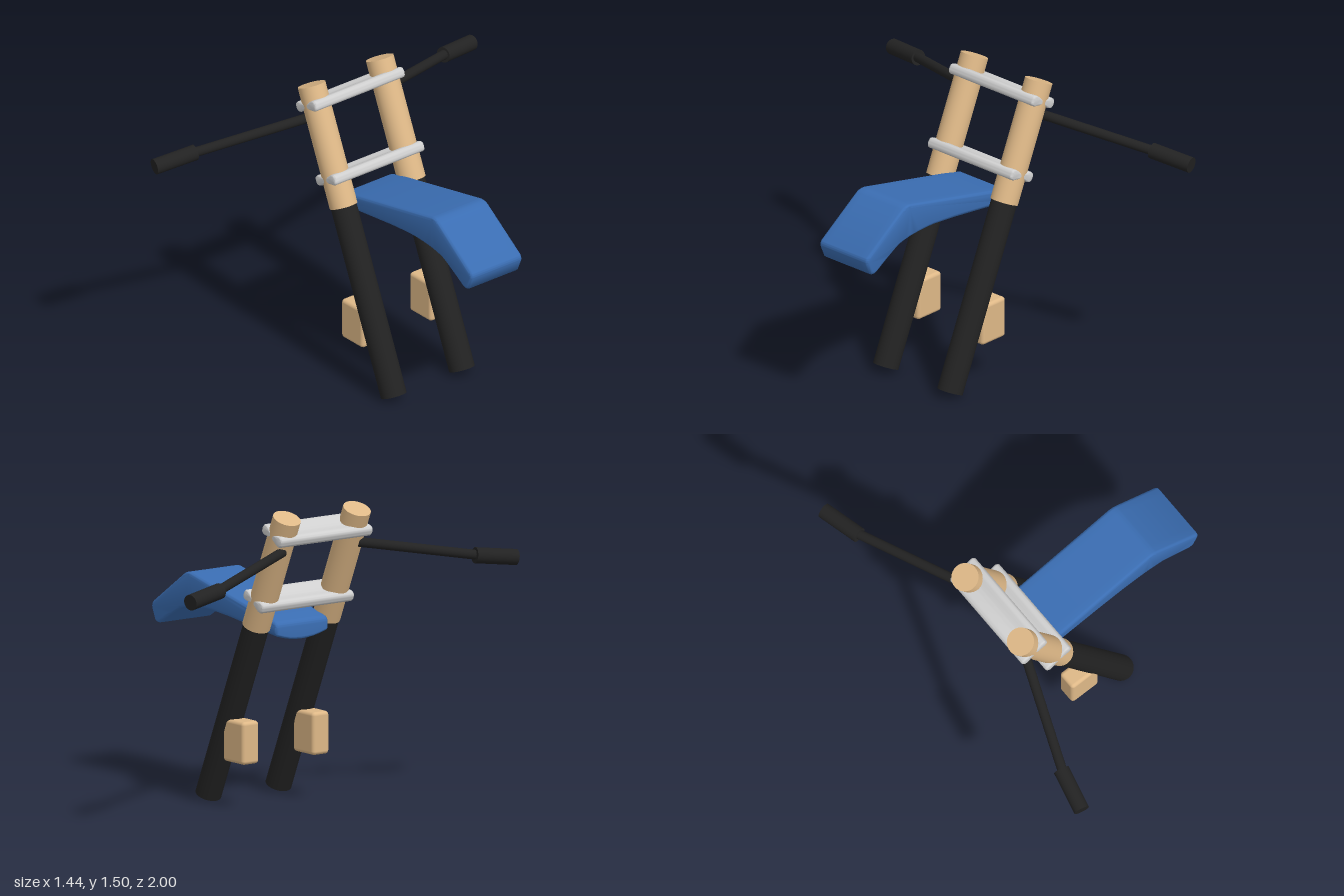
import * as THREE from 'three';
import { toCreasedNormals } from 'three/addons/utils/BufferGeometryUtils.js';
import { RoundedBoxGeometry } from 'three/addons/geometries/RoundedBoxGeometry.js';

const material = (name, color) => {
  const m = new THREE.MeshStandardMaterial({ color });
  m.name = name;
  return m;
};

function add(parent, name, geometry, mat) {
  const mesh = new THREE.Mesh(geometry, mat);
  mesh.name = name;
  parent.add(mesh);
  return mesh;
}

// Cylinder running between two points
function rod(parent, name, a, b, radius, mat) {
  const from = new THREE.Vector3(...a), to = new THREE.Vector3(...b);
  const dir = to.clone().sub(from);
  const mesh = add(parent, name, new THREE.CylinderGeometry(radius, radius, dir.length(), 32), mat);
  mesh.position.copy(from).add(to).multiplyScalar(0.5);
  mesh.quaternion.setFromUnitVectors(new THREE.Vector3(0, 1, 0), dir.normalize());
  return mesh;
}

// Side profile extruded across z with rounded edges, centred on z = 0
function slab(shape, width, bevel, steps = 1) {
  const g = new THREE.ExtrudeGeometry(shape, {
    depth: width - 2 * bevel, steps, curveSegments: 8,
    bevelSize: bevel, bevelThickness: bevel, bevelOffset: -bevel, bevelSegments: 4,
  });
  return g.translate(0, 0, bevel - width / 2);
}

// Dog-bone section of the fork clamps
function clampShape() {
  const half = [[0.083, 0], [0.076, 0.021], [0.055, 0.027], [0.028, 0.021], [0, 0.017],
    [-0.028, 0.021], [-0.055, 0.027], [-0.076, 0.021]];
  const pts = [...half, ...half.map(([u, v]) => [-u, -v])].map((p) => new THREE.Vector2(...p));
  return new THREE.Shape(new THREE.SplineCurve([...pts, pts[0]]).getPoints(64).slice(0, -1));
}

// Fender: beak-shaped side profile, underside bulging down along the middle at the rear
function fenderGeometry() {
  const s = new THREE.Shape();
  s.moveTo(-0.265, 0.837);
  s.lineTo(0.1, 0.895);
  s.lineTo(0.24, 0.917);
  s.quadraticCurveTo(0.4, 0.92, 0.49, 0.89);
  s.quadraticCurveTo(0.55, 0.86, 0.645, 0.799);
  s.quadraticCurveTo(0.675, 0.787, 0.69, 0.806);
  s.lineTo(0.714, 0.862);
  s.quadraticCurveTo(0.719, 0.885, 0.702, 0.899);
  s.lineTo(0.46, 1.067);
  s.quadraticCurveTo(0.435, 1.082, 0.405, 1.078);
  s.lineTo(-0.14, 0.963);
  s.lineTo(-0.255, 0.935);
  s.quadraticCurveTo(-0.279, 0.928, -0.28, 0.905);
  s.lineTo(-0.28, 0.85);
  s.quadraticCurveTo(-0.28, 0.837, -0.265, 0.837);
  const g = slab(s, 0.32, 0.016, 8);
  const p = g.attributes.position;
  for (let i = 0; i < p.count; i++) {
    const x = p.getX(i), y = p.getY(i), z = p.getZ(i);
    if (x < 0.22 && y < 0.91 + 0.16 * x) {
      const fade = Math.min(1, (0.22 - x) / 0.3);
      p.setY(i, y + 0.03 * fade * (z / 0.16) ** 2);
    }
  }
  return toCreasedNormals(g, 0.6);
}

export function createModel() {
  const tan = material('tan', 0xdeb887);
  const black = material('black', 0x222222);
  const blue = material('blue', 0x3a6db2);
  const grey = material('light grey', 0xcfcfcf);

  const model = new THREE.Group();
  model.name = 'motorcycleFrontEnd';

  // Raked fork: local y runs up along the tubes
  const fork = new THREE.Group();
  fork.name = 'fork';
  fork.position.set(0.19, 0.03, 0);
  fork.rotation.z = 0.408;
  model.add(fork);

  for (const side of [1, -1]) {
    const z = 0.213 * side;
    const label = side > 0 ? 'front' : 'rear';
    rod(fork, label + 'LowerTube', [0, 0, z], [0, 0.97, z], 0.064, black);
    rod(fork, label + 'UpperTube', [0, 0.96, z], [0, 1.574, z], 0.069, tan);

    // Block at the foot of each tube
    const block = add(model, label + 'BrakeBlock', new RoundedBoxGeometry(0.165, 0.21, 0.1, 4, 0.018), tan);
    block.position.set(-0.07, 0.33, z);

    // Handlebar and grip
    rod(model, label + 'Handlebar', [-0.42, 1.308, 0.23 * side], [-0.637, 1.212, 0.79 * side], 0.024, black);
    rod(model, label + 'Grip', [-0.635, 1.212, 0.775 * side], [-0.683, 1.186, 0.99 * side], 0.039, black);
  }

  // Clamps joining the tubes
  const clampGeometry = toCreasedNormals(slab(clampShape(), 0.562, 0.012), 0.7);
  [['lowerClamp', 1.107], ['upperClamp', 1.481]].forEach(([name, y]) => {
    add(fork, name, clampGeometry, grey).position.y = y;
  });

  add(model, 'fender', fenderGeometry(), blue);
  return model;
}
